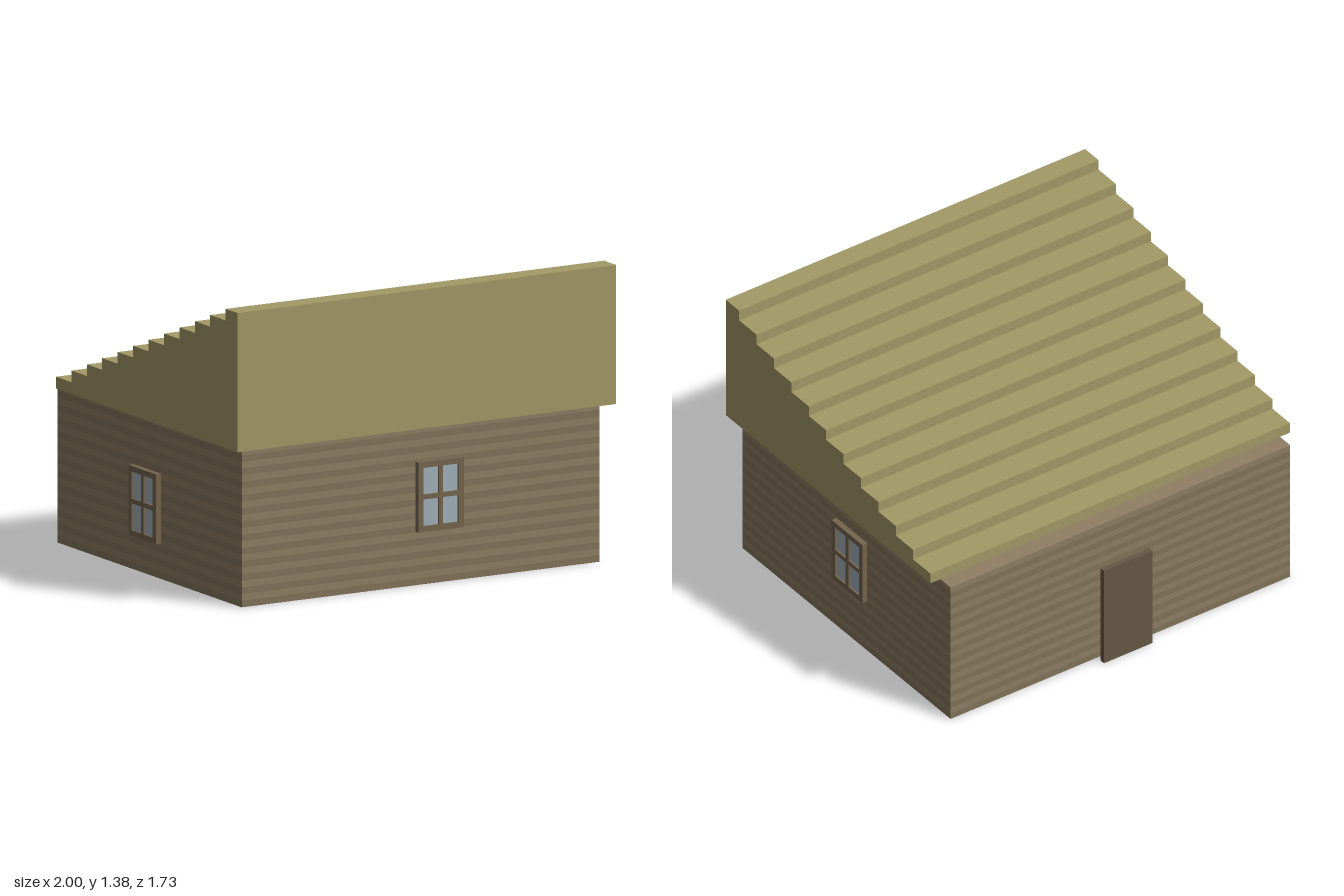
import * as THREE from 'three';

const mat = (color) => new THREE.MeshStandardMaterial({ color });
const wood = { light: mat(0x8f7f64), dark: mat(0x82745b), frame: mat(0x75664f), door: mat(0x665845) };
const thatch = mat(0xa39a66);
const glass = mat(0xa3b1ba);

const W = 1.89, D = 1.62, H = 0.735;

function add(parent, name, geometry, material, x = 0, y = 0, z = 0) {
  const mesh = new THREE.Mesh(geometry, material);
  mesh.name = name;
  mesh.position.set(x, y, z);
  parent.add(mesh);
  return mesh;
}

// Log walls: flush bands of alternating tone, closed by a floor and a top
function makeWalls() {
  const walls = new THREE.Group();
  walls.name = 'walls';
  const bands = 24, h = H / bands;
  const band = new THREE.BoxGeometry(W, h, D);
  const index = Array.from(band.index.array);
  band.setIndex([...index.slice(0, 12), ...index.slice(24)]); // sides only
  band.clearGroups();
  for (let i = 0; i < bands; i++) {
    add(walls, 'wallCourse', band, i % 2 ? wood.light : wood.dark, 0, (i + 0.5) * h, 0);
  }
  const plate = new THREE.PlaneGeometry(W, D);
  add(walls, 'floor', plate, wood.dark).rotation.x = Math.PI / 2;
  add(walls, 'wallTop', plate, wood.light, 0, H, 0).rotation.x = -Math.PI / 2;
  return walls;
}

// Lean-to roof: stepped profile extruded across the width
function makeRoof() {
  const steps = 12, rise = 0.645 / steps, run = 0.1355, front = 0.865;
  const shape = new THREE.Shape();
  shape.moveTo(-front, H);
  shape.lineTo(-front, H + 0.645);
  for (let i = 0; i < steps; i++) {
    const u = -0.76 + i * run;
    shape.lineTo(u, H + 0.645 - i * rise);
    shape.lineTo(u, H + 0.645 - (i + 1) * rise);
  }
  const geometry = new THREE.ExtrudeGeometry(shape, { depth: 2, bevelEnabled: false });
  geometry.translate(0, 0, -1).rotateY(Math.PI / 2); // profile runs toward -z
  const roof = new THREE.Mesh(geometry, thatch);
  roof.name = 'roof';
  return roof;
}

// Window facing +z with its back on z = 0
function makeWindow(name) {
  const group = new THREE.Group();
  group.name = name;
  const w = 0.24, h = 0.325, border = 0.027, bar = 0.011, depth = 0.027;
  const rect = (path, x0, y0, x1, y1) =>
    path.moveTo(x0, y0).lineTo(x1, y0).lineTo(x1, y1).lineTo(x0, y1).closePath();
  const shape = rect(new THREE.Shape(), -w / 2, -h / 2, w / 2, h / 2);
  for (const sx of [-1, 1]) for (const sy of [-1, 1]) {
    shape.holes.push(rect(new THREE.Path(), sx * bar, sy * bar,
      sx * (w / 2 - border), sy * (h / 2 - border)));
  }
  add(group, 'windowFrame',
    new THREE.ExtrudeGeometry(shape, { depth, bevelEnabled: false }), wood.frame);
  add(group, 'windowPanes',
    new THREE.BoxGeometry(w - border, h - border, 0.016), glass, 0, 0, 0.008);
  return group;
}

// Back door: narrow backing with a wider leaf in front
function makeDoor() {
  const door = new THREE.Group();
  door.name = 'door';
  add(door, 'doorBacking', new THREE.BoxGeometry(0.21, 0.485, 0.027), wood.door, -0.005, 0.2425, -0.8235);
  add(door, 'doorLeaf', new THREE.BoxGeometry(0.27, 0.515, 0.027), wood.door, -0.005, 0.2575, -0.8505);
  return door;
}

export function createModel() {
  const model = new THREE.Group();
  model.name = 'cabin';
  model.add(makeWalls(), makeRoof(), makeDoor());

  const windows = [
    ['frontWindow', 0.0925, 0.41, D / 2, 0],
    ['leftWindow', W / 2, 0.4375, -0.04, Math.PI / 2],
    ['rightWindow', -W / 2, 0.325, -0.02, -Math.PI / 2],
  ];
  for (const [name, x, y, z, turn] of windows) {
    const win = makeWindow(name);
    win.position.set(x, y, z);
    win.rotation.y = turn;
    model.add(win);
  }
  return model;
}
